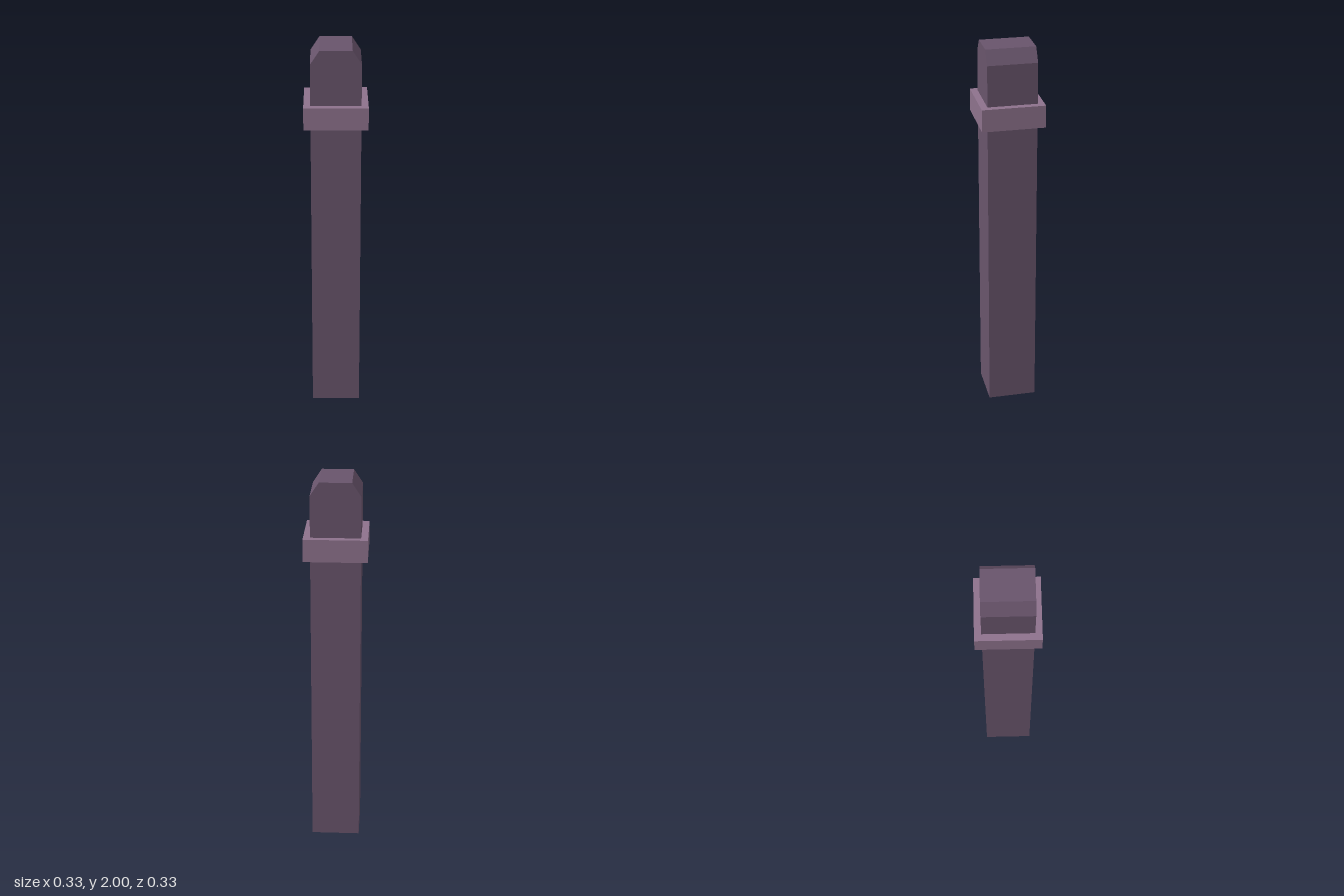
import * as THREE from 'three';

export function createModel() {
  const group = new THREE.Group();
  group.name = 'post';
  const darkPurple = new THREE.MeshStandardMaterial({ name: 'dark purple', color: 0x68546b });
  const lightPurple = new THREE.MeshStandardMaterial({ name: 'light mauve', color: 0x8d728c });

  // Square shaft with its left and right top edges chamfered
  const half = 0.128, topHalf = 0.082, shoulder = 1.93, height = 2;
  const outline = new THREE.Shape([
    [-half, 0], [half, 0], [half, shoulder],
    [topHalf, height], [-topHalf, height], [-half, shoulder],
  ].map(([x, y]) => new THREE.Vector2(x, y)));
  const shaftGeometry = new THREE.ExtrudeGeometry(outline, { depth: 2 * half, bevelEnabled: false });
  shaftGeometry.translate(0, 0, -half);
  const shaft = new THREE.Mesh(shaftGeometry, darkPurple);
  shaft.name = 'shaft';
  group.add(shaft);

  // Square collar below the cap
  const collar = new THREE.Mesh(new THREE.BoxGeometry(0.326, 0.117, 0.326), lightPurple);
  collar.name = 'collar';
  collar.position.y = 1.658;
  group.add(collar);

  return group;
}
